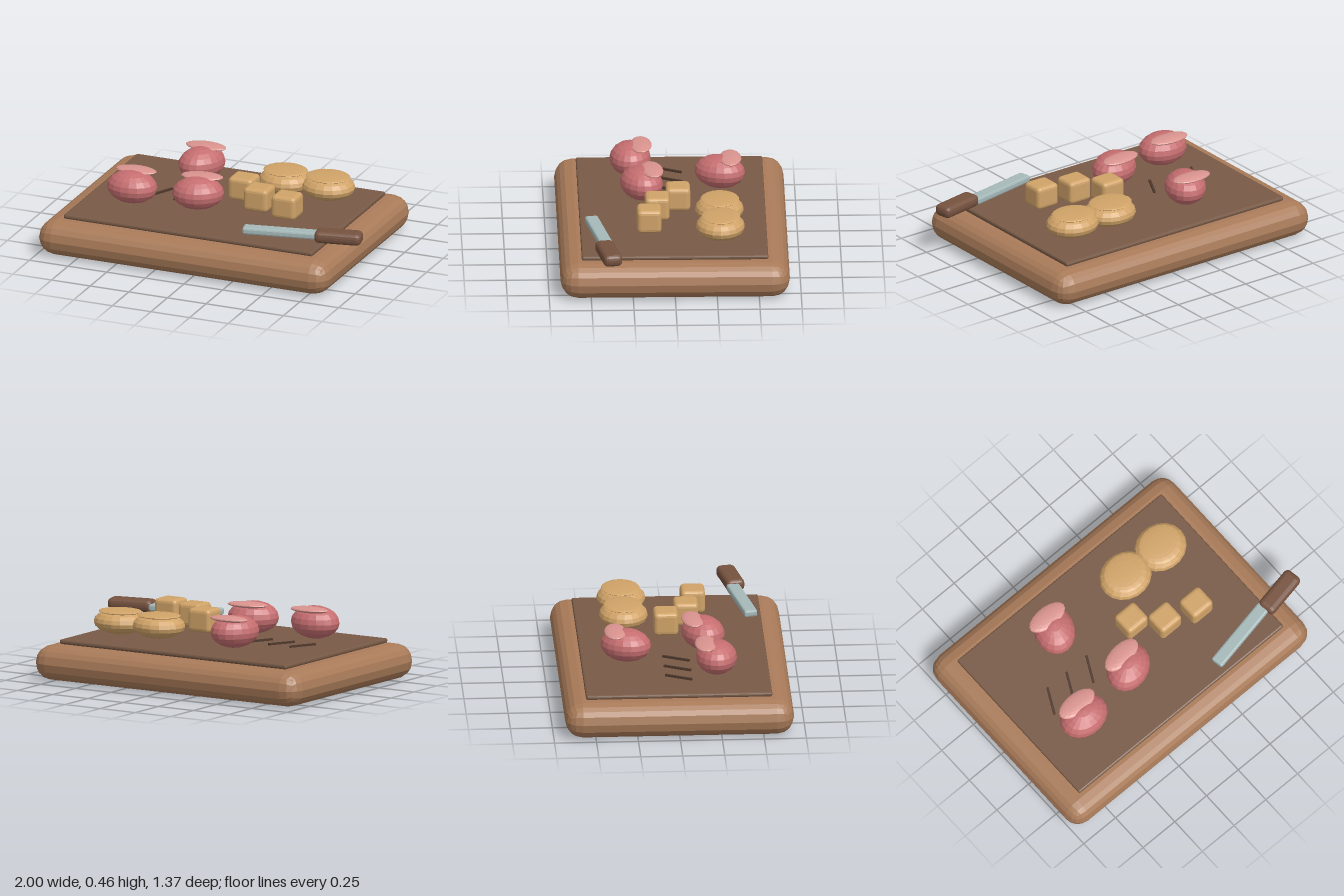
import * as THREE from 'three';
import { RoundedBoxGeometry } from 'three/addons/geometries/RoundedBoxGeometry.js';

function mat(name, color) {
  const m = new THREE.MeshStandardMaterial({ color, flatShading: true });
  m.name = name;
  return m;
}

export function createModel() {
  const wood = mat('board wood', 0xa97b59);
  const slab = mat('dark inlay', 0x785a46);
  const grip = mat('handle wood', 0x76523f);
  const meat = mat('meat', 0xc66e70);
  const fat = mat('fat', 0xd9938e);
  const crust = mat('bread', 0xd0a368);
  const steel = mat('steel', 0xa5b8b8);
  const dark = mat('cut mark', 0x4d372b);

  const model = new THREE.Group();
  model.name = 'servingBoard';

  function add(parent, name, geometry, material, x, y, z, turn = 0) {
    const mesh = new THREE.Mesh(geometry, material);
    mesh.name = name;
    mesh.position.set(x, y, z);
    mesh.rotation.y = turn;
    parent.add(mesh);
    return mesh;
  }
  const ellipsoid = (rx, ry, rz) => new THREE.SphereGeometry(1, 18, 10).scale(rx, ry, rz);
  function group(name, x, y, z, turn = 0) {
    const g = new THREE.Group();
    g.name = name;
    g.position.set(x, y, z);
    g.rotation.y = turn;
    model.add(g);
    return g;
  }

  // Board with a raised dark inlay
  add(model, 'board', new RoundedBoxGeometry(1.88, 0.212, 1.365, 2, 0.105), wood, -0.0625, 0.108, 0);
  add(model, 'inlay', new RoundedBoxGeometry(1.61, 0.028, 1.11, 1, 0.01), slab, -0.06, 0.231, 0);

  // Meat pieces, each with a thin cap of fat towards the back
  for (const [x, z, turn, capTurn] of [[-0.555, 0.238, 0, 0], [-0.153, 0.18, 0.4, 0.12], [-0.33, -0.29, 1.15, 0]]) {
    const g = group('meatPiece', x, 0, z);
    add(g, 'meatBody', ellipsoid(0.155, 0.098, 0.123), meat, 0, 0.36, 0, turn);
    add(g, 'fatCap', ellipsoid(0.129, 0.018, 0.066), fat, 0, 0.443, -0.063, capTurn);
  }

  // Two flat bread rolls
  for (const x of [0.22, 0.495]) {
    const g = group('breadRoll', x, 0, -0.275);
    add(g, 'rollBody', ellipsoid(0.164, 0.075, 0.146), crust, 0, 0.338, 0);
    add(g, 'rollTop', ellipsoid(0.136, 0.014, 0.116), crust, -0.003, 0.4, -0.003);
  }

  // Cubes
  for (const [x, z] of [[0.055, -0.032], [0.207, 0.095], [0.41, 0.147]]) {
    add(model, 'cube', new RoundedBoxGeometry(0.156, 0.142, 0.146, 2, 0.025), crust, x, 0.356, z);
  }

  // Slanted cut marks
  for (const x of [-0.615, -0.465, -0.308]) {
    add(model, 'cutMark', new THREE.BoxGeometry(0.175, 0.012, 0.014), dark, x, 0.257, 0.01, 1.1);
  }

  // Knife overhanging the right corner
  const knife = group('knife', 0.85, 0, 0.397, 0.19);
  add(knife, 'handle', new RoundedBoxGeometry(0.286, 0.074, 0.115, 2, 0.03), grip, 0, 0.308, 0);
  add(knife, 'blade', new RoundedBoxGeometry(0.46, 0.043, 0.08, 1, 0.012), steel, -0.355, 0.302, -0.018);

  return model;
}
